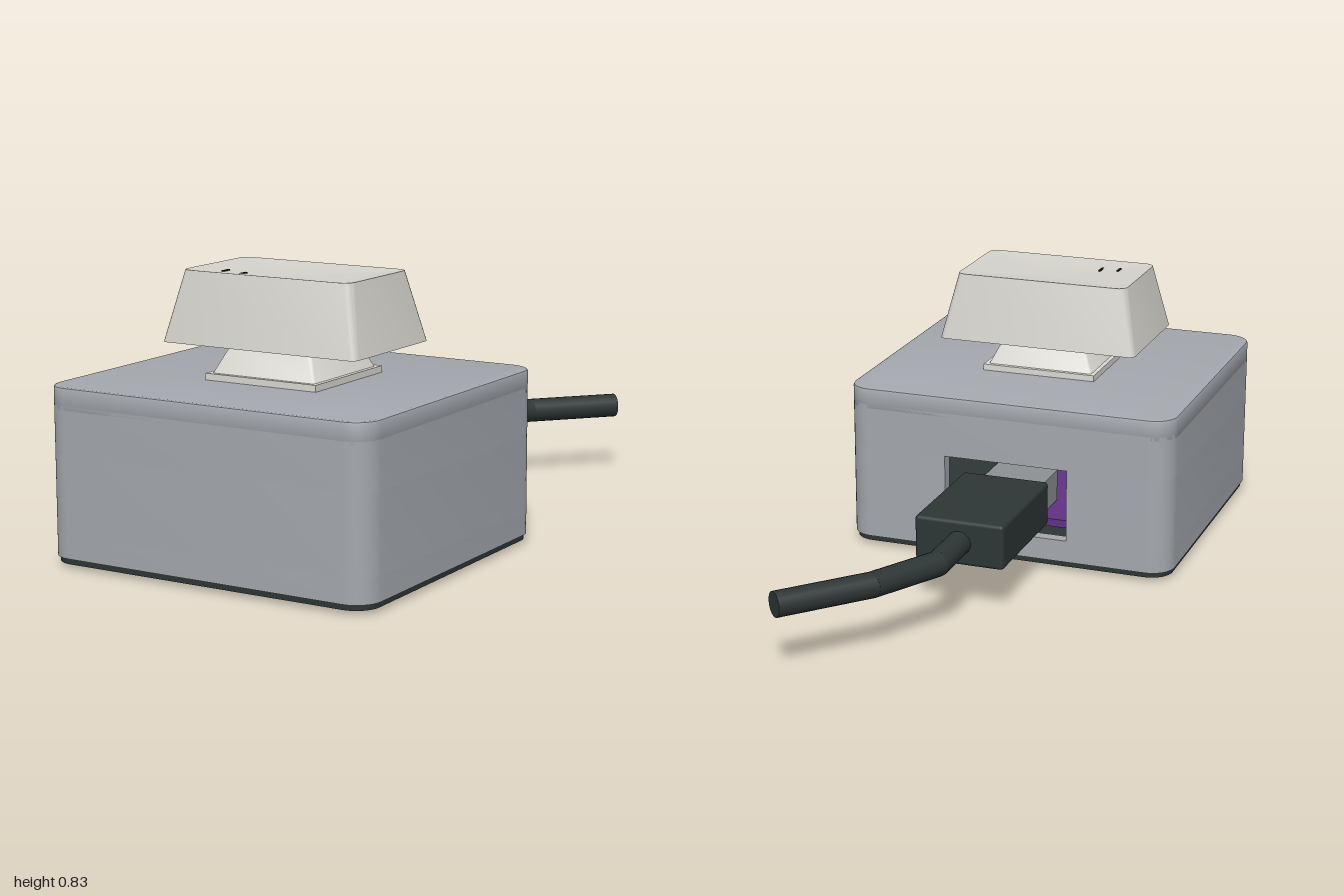
import * as THREE from 'three';
import { toCreasedNormals, mergeVertices } from 'three/addons/utils/BufferGeometryUtils.js';
import { RoundedBoxGeometry } from 'three/addons/geometries/RoundedBoxGeometry.js';

const material = (name, color) => {
  const m = new THREE.MeshStandardMaterial({ color });
  m.name = name;
  return m;
};

// Outline of a rounded rectangle, half sizes w and d, as points
function roundedOutline(w, d, r, steps = 8) {
  const pts = [];
  for (let q = 0; q < 4; q++) {
    const cx = (q === 0 || q === 3 ? 1 : -1) * (w - r);
    const cy = (q < 2 ? 1 : -1) * (d - r);
    for (let i = 0; i <= steps; i++) {
      const a = (q + i / steps) * Math.PI / 2;
      pts.push(new THREE.Vector2(cx + r * Math.cos(a), cy + r * Math.sin(a)));
    }
  }
  return pts;
}

// Horizontal slab between two heights, extruded upwards
function slab(shape, y0, y1, bevel = 0) {
  const g = new THREE.ExtrudeGeometry(shape, {
    depth: y1 - y0 - 2 * bevel, bevelEnabled: bevel > 0, bevelSize: bevel,
    bevelThickness: bevel, bevelOffset: -bevel, bevelSegments: 2,
  });
  g.rotateX(-Math.PI / 2).translate(0, y0 + bevel, 0);
  return toCreasedNormals(g, 0.5);
}

// Closed loft through sections [halfWidth, halfDepth, radius, y], with a top centre height
function loft(sections, centreY) {
  const pos = [], idx = [];
  let n = 0;
  for (const [w, d, r, y] of sections) {
    const ring = roundedOutline(w, d, r, 5);
    n = ring.length;
    ring.forEach(p => pos.push(p.x, y, p.y));
  }
  const last = (sections.length - 1) * n, bottom = sections.length * n, top = bottom + 1;
  pos.push(0, sections[0][3], 0, 0, centreY, 0);
  for (let i = 0; i < n; i++) {
    const j = (i + 1) % n;
    for (let o = 0; o < last; o += n) {
      idx.push(o + i, o + n + i, o + n + j, o + i, o + n + j, o + j);
    }
    idx.push(bottom, i, j, top, last + j, last + i);
  }
  const g = new THREE.BufferGeometry();
  g.setAttribute('position', new THREE.Float32BufferAttribute(pos, 3));
  g.setIndex(idx);
  return toCreasedNormals(mergeVertices(g), 0.5);
}

export function createModel() {
  const model = new THREE.Group();
  model.name = 'singleKeyPad';
  const grey = material('case grey', 0xa4a8ae);
  const ivory = material('keycap ivory', 0xd4d2cb);
  const pale = material('switch ivory', 0xdcdad3);
  const dark = material('dark plastic', 0x2d3635);
  const purple = material('board purple', 0x5f3285);
  const steel = material('screw steel', 0x8d9194);
  const black = material('black marks', 0x141616);

  const add = (name, geometry, mat, x = 0, y = 0, z = 0, parent = model) => {
    const mesh = new THREE.Mesh(geometry, mat);
    mesh.name = name;
    mesh.position.set(x, y, z);
    parent.add(mesh);
    return mesh;
  };
  const box = (w, h, d) => new THREE.BoxGeometry(w, h, d);

  // Hollow case with a cable opening in the back wall
  const W = 0.53, D = 0.485, T = 0.04, midZ = 0.515, gap = 0.2;
  const body = new THREE.Group();
  body.name = 'case';
  body.position.z = midZ;
  model.add(body);
  const outline = roundedOutline(W, D, 0.075);
  const inner = roundedOutline(W - T, D - T, 0.04);
  const ring = new THREE.Shape(outline);
  ring.holes.push(new THREE.Path(inner));

  // Turn both outlines so that they start and end at the opening
  const split = 9;
  const turn = pts => [...pts.slice(split), ...pts.slice(0, split)];
  const openRing = new THREE.Shape([
    new THREE.Vector2(-gap, D), ...turn(outline), new THREE.Vector2(gap, D),
    new THREE.Vector2(gap, D - T), ...turn(inner).reverse(), new THREE.Vector2(-gap, D - T),
  ]);
  add('lowerWall', slab(ring, 0.03, 0.1), grey, 0, 0, 0, body);
  add('middleWall', slab(openRing, 0.1, 0.33), grey, 0, 0, 0, body);
  add('upperWall', slab(ring, 0.33, 0.47), grey, 0, 0, 0, body);
  add('caseTop', slab(new THREE.Shape(outline), 0.45, 0.523, 0.008), grey, 0, 0, 0, body);

  // Base plate, feet and screws
  add('basePlate', slab(new THREE.Shape(roundedOutline(0.523, 0.478, 0.07)), 0.013, 0.031),
    dark, 0, 0, midZ);
  const foot = slab(new THREE.Shape(roundedOutline(0.093, 0.093, 0.015, 4)), 0, 0.016);
  for (const sx of [-1, 1]) {
    for (const z of [0.215, 0.82]) add('foot', foot, dark, sx * 0.278, 0, z);
    add('screw', new THREE.CylinderGeometry(0.045, 0.045, 0.01, 24), steel, sx * 0.39, 0.016, 0.505);
    add('screwSocket', new THREE.CylinderGeometry(0.018, 0.018, 0.004, 6), black, sx * 0.39, 0.0115, 0.505);
  }

  // Electronics seen through the opening
  add('circuitBoard', box(0.4, 0.025, 0.55), purple, 0, 0.135, 0.355);
  add('socket', box(0.2, 0.1, 0.16), steel, 0, 0.2, 0.16);
  add('switchBoard', box(0.5, 0.02, 0.5), purple, 0, 0.32, 0.515);
  add('switchHousing', box(0.36, 0.13, 0.36), pale, 0, 0.39, 0.515);

  // Switch above the case
  add('switchCollar', box(0.37, 0.025, 0.36), pale, 0, 0.53, 0.518);
  add('switchTop', loft([[0.173, 0.168, 0.012, 0.54], [0.132, 0.125, 0.012, 0.63]], 0.63),
    pale, 0, 0, 0.518);

  // Keycap with a shallow dished top
  const capZ = 0.512, topY = 0.83, dish = 0.022, tw = 0.28, td = 0.162;
  add('keycap', loft([[0.324, 0.206, 0.022, 0.624], [tw, td, 0.03, topY]], topY - dish),
    ivory, 0, 0, capZ);
  for (const x of [-0.185, -0.125]) {
    const depth = dish * (1 - Math.max(Math.abs(x) / tw, 0.08 / td));
    add('keycapMark', box(0.007, 0.006, 0.034), black, x, topY - depth, 0.59);
  }

  // Plug and bent cable
  add('plug', new RoundedBoxGeometry(0.28, 0.14, 0.41, 3, 0.012), dark, 0, 0.215, -0.165);
  const path = [[0, -0.36], [0, -0.54], [0.115, -0.75], [0.315, -0.973]]
    .map(([x, z]) => new THREE.Vector3(x, 0.215, z));
  const radius = 0.038, up = new THREE.Vector3(0, 1, 0);
  for (let i = 1; i < path.length; i++) {
    const dir = path[i].clone().sub(path[i - 1]);
    const mid = path[i].clone().add(path[i - 1]).multiplyScalar(0.5);
    const piece = add('cable', new THREE.CylinderGeometry(radius, radius, dir.length(), 20),
      dark, mid.x, mid.y, mid.z);
    piece.quaternion.setFromUnitVectors(up, dir.normalize());
    if (i < path.length - 1) {
      add('cableBend', new THREE.SphereGeometry(radius, 20, 12), dark, path[i].x, path[i].y, path[i].z);
    }
  }
  return model;
}
